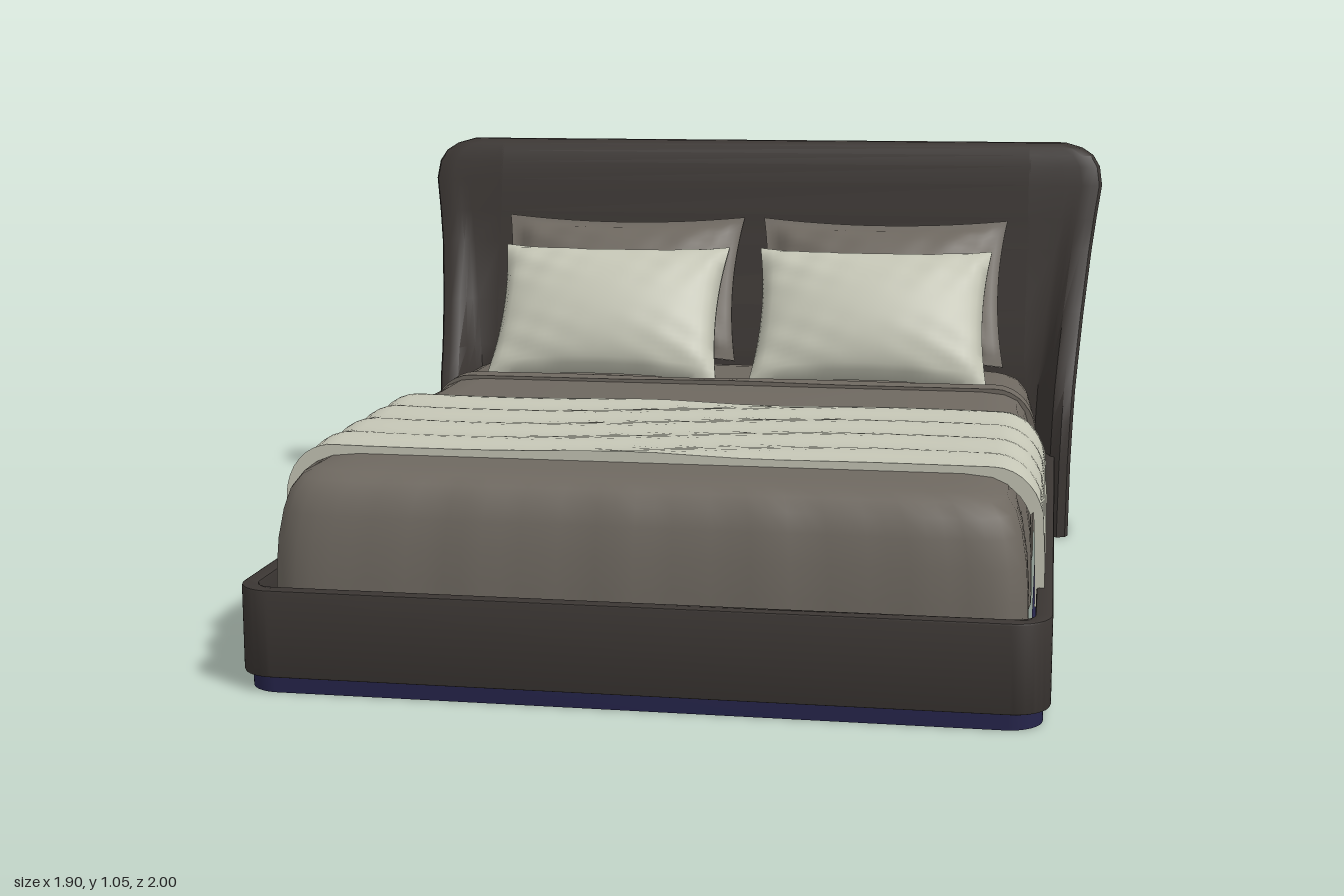
import * as THREE from 'three';
import { toCreasedNormals, mergeGeometries } from 'three/addons/utils/BufferGeometryUtils.js';

const material = (color) => new THREE.MeshStandardMaterial({ color, side: THREE.DoubleSide });
const upholstery = material(0x3b3633);
const plinthPaint = material(0x25244a);
const linen = material(0x6e6860);
const paleFabric = material(0xc4c5b5);

function addMesh(parent, name, geometry, mat) {
  const mesh = new THREE.Mesh(geometry, mat);
  mesh.name = name;
  parent.add(mesh);
  return mesh;
}

// Skin a list of rings (arrays of [x, y, z]); caps are fans round each ring's centre
function loft(rings, { closed = true, capStart = false, capEnd = false, crease = 0.7 } = {}) {
  const n = rings[0].length;
  const pos = rings.flat(2);
  const index = [];
  const spans = closed ? n : n - 1;
  for (let i = 0; i < rings.length - 1; i++) {
    for (let j = 0; j < spans; j++) {
      const a = i * n + j, b = i * n + (j + 1) % n;
      index.push(a, a + n, b, b, a + n, b + n);
    }
  }
  const cap = (r, flip) => {
    const c = pos.length / 3;
    for (let k = 0; k < 3; k++) pos.push(rings[r].reduce((s, p) => s + p[k], 0) / n);
    for (let j = 0; j < n; j++) {
      const a = r * n + j, b = r * n + (j + 1) % n;
      index.push(...(flip ? [c, a, b] : [c, b, a]));
    }
  };
  if (capStart) cap(0, true);
  if (capEnd) cap(rings.length - 1, false);
  const g = new THREE.BufferGeometry();
  g.setAttribute('position', new THREE.Float32BufferAttribute(pos, 3));
  g.setIndex(index);
  return toCreasedNormals(g, crease);
}

// Rounded rectangle outline, half sizes hx and hy
function roundRect(Type, hx, hy, r) {
  const s = new Type();
  s.absarc(hx - r, hy - r, r, 0, Math.PI / 2);
  s.absarc(r - hx, hy - r, r, Math.PI / 2, Math.PI);
  s.absarc(r - hx, r - hy, r, Math.PI, Math.PI * 1.5);
  s.absarc(hx - r, r - hy, r, Math.PI * 1.5, Math.PI * 2);
  s.closePath();
  return s;
}

// Upright frame with an open middle
function frameGeometry(hx, hz, thick, y0, y1, bevel) {
  const s = roundRect(THREE.Shape, hx - bevel, hz - bevel, 0.075);
  s.holes.push(roundRect(THREE.Path, hx - thick + bevel, hz - thick + bevel, 0.05));
  const g = new THREE.ExtrudeGeometry(s, {
    depth: y1 - y0 - 2 * bevel, curveSegments: 8, bevelEnabled: bevel > 0,
    bevelSize: bevel, bevelThickness: bevel, bevelSegments: 2,
  });
  g.rotateX(-Math.PI / 2).translate(0, y0 + bevel, 0.07);
  return toCreasedNormals(g, 0.6);
}

// Headboard levels: height, half width, back z, wing front z, panel front z
const LEVELS = [
  [0, 0.88, -0.885, -0.655, -0.78], [0.2, 0.882, -0.885, -0.655, -0.78],
  [0.32, 0.886, -0.887, -0.66, -0.785], [0.4, 0.89, -0.889, -0.685, -0.79],
  [0.47, 0.896, -0.893, -0.725, -0.8], [0.6, 0.908, -0.91, -0.785, -0.825],
  [0.765, 0.926, -0.936, -0.85, -0.862], [0.85, 0.937, -0.955, -0.872, -0.876],
  [0.94, 0.95, -0.976, -0.892, -0.892], [0.99, 0.943, -0.988, -0.904, -0.904],
  [1.02, 0.925, -0.995, -0.915, -0.915], [1.04, 0.895, -1.0, -0.926, -0.926],
  [1.053, 0.85, -0.995, -0.945, -0.945],
];

function wingRing([y, w, zb, zf, zp]) {
  const r = Math.min(0.05, 0.4 * (zp - zb));
  const d = zf - zp;
  return [
    [0.75, y, zb], [w - r, y, zb], [w - 0.3 * r, y, zb + 0.3 * r], [w, y, zb + r],
    [w, y, zf - 0.025], [w - 0.008, y, zf - 0.007], [w - 0.03, y, zf],
    [w - 0.055, y, zf - 0.1 * d], [w - 0.07, y, zp + 0.5 * d],
    [w - 0.085, y, zp + 0.15 * d], [w - 0.1, y, zp], [0.75, y, zp],
  ];
}

function buildHeadboard() {
  const group = new THREE.Group();
  group.name = 'headboard';
  const left = LEVELS.map(wingRing);
  const right = left.map((ring) => ring.map(([x, y, z]) => [-x, y, z]).reverse());
  addMesh(group, 'leftWing', loft(left, { capStart: true, capEnd: true }), upholstery);
  addMesh(group, 'rightWing', loft(right, { capStart: true, capEnd: true }), upholstery);
  // Centre panel starts above the floor, with its back set in a little
  const panel = LEVELS.slice(1).map(([y, , zb, , zp], i) => {
    const h = i ? y : 0.16;
    return [[-0.755, h, zb + 0.008], [0.755, h, zb + 0.008], [0.755, h, zp], [-0.755, h, zp]];
  });
  addMesh(group, 'centrePanel', loft(panel, { capStart: true, capEnd: true }), upholstery);
  const back = new THREE.BoxGeometry(1.54, 0.17, 0.03).translate(0, 0.09, -0.855);
  addMesh(group, 'lowerBackPanel', back, plinthPaint);
  return group;
}

// Bedding over the mattress: rounded on top, open below, with slight folds
function mattressGeometry() {
  const levels = [[0.15, 0], [0.24, 0.001], [0.31, 0.006], [0.37, 0.016],
    [0.41, 0.028], [0.438, 0.048], [0.452, 0.08], [0.458, 0.14]];
  const outline = roundRect(THREE.Shape, 0.79, 0.85, 0.09).getSpacedPoints(160).slice(0, -1);
  const rings = levels.map(([y, inset]) => outline.map((p) => {
    const fold = y > 0.45 ? 0 : 0.004 * Math.sin(31 * p.x + 23 * p.y) * Math.sin(9 * p.x + 5 * p.y);
    const x = p.x * (1 - (inset + fold) / 0.79);
    const z = p.y * (1 - (inset + fold) / 0.85);
    return [x, y, 0.105 - z];
  }));
  return loft(rings, { capEnd: true, crease: 1 });
}

// Cloth laid across the bed and hanging down both sides
function clothGeometry(w, top, y0, z0, z1, wrinkle) {
  const half = [[w, y0], [w - 0.002, 0.29]];
  for (let i = 0; i <= 8; i++) {
    const a = (i / 8) * Math.PI / 2;
    half.push([w - 0.11 + 0.105 * Math.cos(a), top - 0.12 + 0.12 * Math.sin(a)]);
  }
  for (let i = 1; i <= 8; i++) half.push([(w - 0.11) * (1 - i / 8), top]);
  const arch = [...half, ...half.slice(0, -1).reverse().map(([x, y]) => [-x, y])];
  const steps = 32;
  const rings = [];
  for (let k = -1; k <= steps + 1; k++) {
    const t = Math.min(Math.max(k / steps, 0), 1);
    const hem = k < 0 || k > steps ? 0.025 : 0;
    rings.push(arch.map(([x, y]) => {
      const z = z0 + (z1 - z0) * t;
      const wave = wrinkle * Math.sin(38 * z + 3 * x + 2 * Math.sin(4 * x));
      return [x * (1 - hem), y - (y > 0.4 ? hem : 0) + (y > 0.4 ? wave : 0), z];
    }));
  }
  return loft(rings, { closed: false, crease: 1 });
}

// Cushion with pinched sides, pointed corners and an optional flat border
function pillowGeometry(hw, hh, ht, border) {
  const faces = [1, -1].map((side) => {
    const g = new THREE.PlaneGeometry(2, 2, 36, 28);
    if (side < 0) g.rotateY(Math.PI);
    const p = g.attributes.position;
    for (let i = 0; i < p.count; i++) {
      const u = p.getX(i), v = p.getY(i);
      const a = Math.min(1, Math.abs(u) / (1 - border));
      const b = Math.min(1, Math.abs(v) / (1 - border));
      const puff = Math.pow((1 - a * a) * (1 - b * b), 0.5);
      const crumple = 0.012 * Math.sin(14 * u + 5 * v) * Math.sin(11 * v - 4 * u) * a * b * Math.sqrt(puff);
      p.setXYZ(i,
        hw * u * (1 - 0.06 * (1 - v * v)),
        hh * v * (1 - 0.09 * (1 - u * u)),
        side * (ht * puff + crumple + 0.003));
    }
    return g;
  });
  return toCreasedNormals(mergeGeometries(faces), 1.2);
}

export function createModel() {
  const bed = new THREE.Group();
  bed.name = 'bed';

  // Base
  addMesh(bed, 'sideRails', frameGeometry(0.84, 0.93, 0.035, 0.035, 0.222, 0.005), upholstery);
  addMesh(bed, 'plinth', frameGeometry(0.825, 0.915, 0.03, 0, 0.04, 0), plinthPaint);
  bed.add(buildHeadboard());

  // Bedding
  addMesh(bed, 'mattressCover', mattressGeometry(), linen);
  addMesh(bed, 'sheetFold', clothGeometry(0.795, 0.468, 0.18, -0.34, -0.29, 0.002), linen);
  addMesh(bed, 'throwBlanket', clothGeometry(0.822, 0.478, 0.18, 0.08, 0.72, 0.004), paleFabric);

  // Two pairs of pillows leaning on the headboard
  const backPillow = pillowGeometry(0.335, 0.21, 0.08, 0.1);
  const frontPillow = pillowGeometry(0.31, 0.205, 0.095, 0);
  for (const side of [1, -1]) {
    const label = side > 0 ? 'left' : 'right';
    const back = addMesh(bed, label + 'BackPillow', backPillow, linen);
    back.position.set(side * 0.362, 0.66, -0.69);
    back.rotation.x = -0.47;
    const front = addMesh(bed, label + 'FrontPillow', frontPillow, paleFabric);
    front.position.set(side * 0.352, 0.615, -0.485);
    front.rotation.x = -0.63;
  }
  return bed;
}
